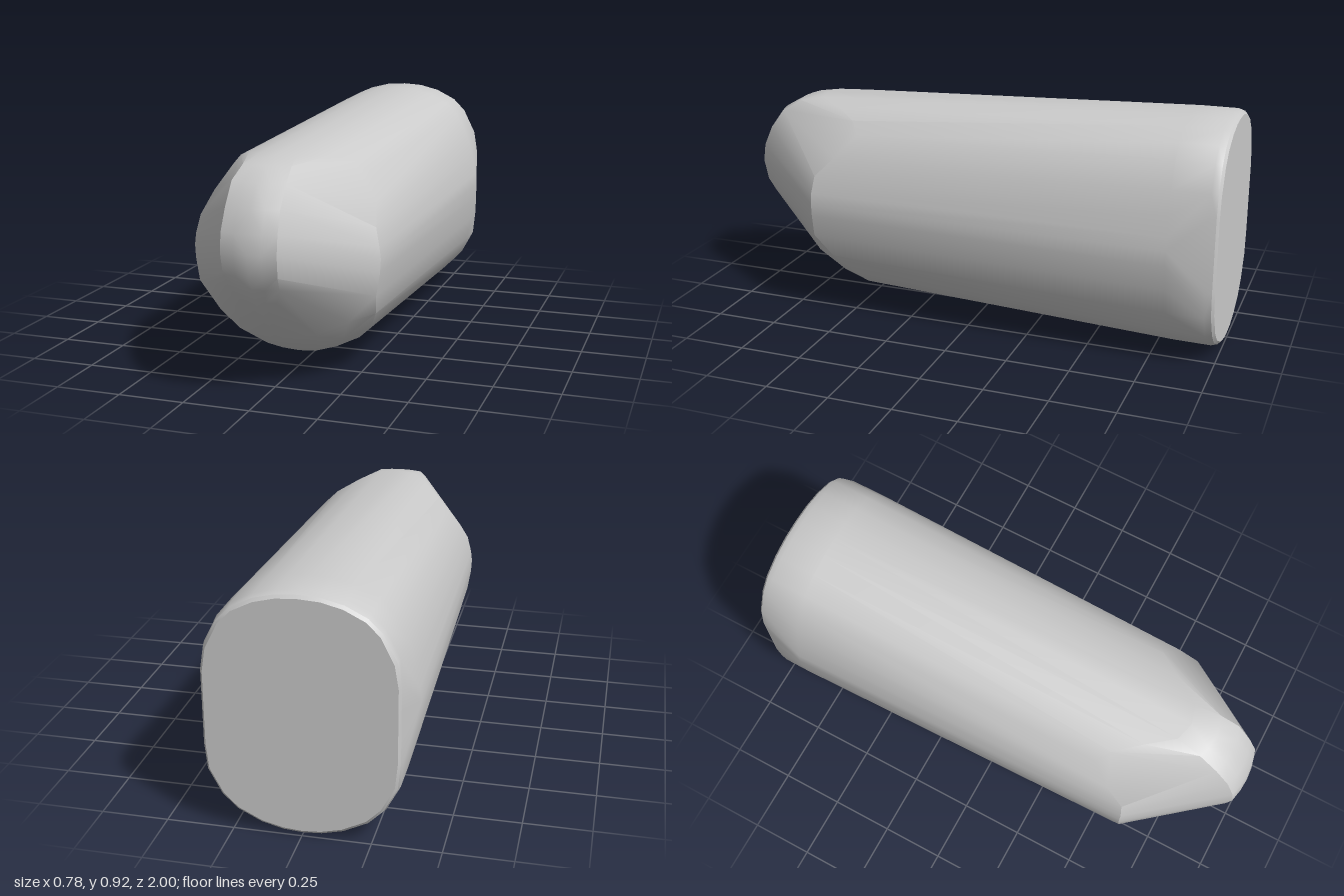
import * as THREE from 'three';
import { ConvexGeometry } from 'three/addons/geometries/ConvexGeometry.js';
import { toCreasedNormals } from 'three/addons/utils/BufferGeometryUtils.js';

// Half outline of the widest section, top to bottom: x, y, and the z where that line of the body ends
const OUTLINE = [
  [0, 0.915, 0.72], [0.08, 0.91, 0.7], [0.16, 0.89, 0.6], [0.24, 0.85, 0.5],
  [0.29, 0.80, 0.46], [0.34, 0.70, 0.54], [0.365, 0.61, 0.62], [0.382, 0.53, 0.63],
  [0.388, 0.48, 0.63], [0.385, 0.42, 0.63], [0.37, 0.32, 0.63], [0.345, 0.22, 0.56],
  [0.295, 0.125, 0.47], [0.24, 0.07, 0.45], [0.15, 0.025, 0.47], [0.07, 0.005, 0.5], [0, 0, 0.5],
];

// Rounded nose ridge: y, z, half width, setback of its edges
const NOSE = [
  [0.825, 0.82, 0.09, 0.02], [0.78, 0.9, 0.1, 0.02], [0.7, 0.96, 0.1, 0.02],
  [0.62, 0.99, 0.103, 0.015], [0.55, 1, 0.103, 0.015], [0.47, 0.985, 0.1, 0.015],
  [0.42, 0.96, 0.095, 0.02], [0.365, 0.925, 0.07, 0.02],
];

// Chin under the nose: x, y, z
const CHIN = [
  [0.3, 0.3, 0.63], [0.25, 0.24, 0.655], [0.15, 0.195, 0.71], [0, 0.172, 0.725],
  [0.2, 0.145, 0.57], [0.1, 0.1, 0.57], [0, 0.09, 0.57],
];

export function createModel() {
  const group = new THREE.Group();
  const points = [];
  const add = (x, y, z) => {
    points.push(new THREE.Vector3(x, y, z));
    if (x > 0) points.push(new THREE.Vector3(-x, y, z));
  };

  // Tapered body, narrowing evenly from back to front
  const addBody = (x, y, z) => {
    const t = (z + 0.82) / 1.45;
    add(x * (1 - 0.07 * t), 0.46 + (y - 0.46) * (1 - 0.14 * t), z);
  };
  for (const [x, y, zEnd] of OUTLINE) {
    addBody(x, y, -0.82);
    addBody(x, y, zEnd);
    // Back rim with flattened sides, then a slightly inset end cap
    const rimX = Math.min(x, 0.355);
    add(rimX, 0.46 + (y - 0.46) * 1.003, -0.965);
    add(rimX * 0.985, 0.46 + (y - 0.46) * 0.985, -0.99);
    add(rimX * 0.96, 0.46 + (y - 0.46) * 0.96, -1);
  }

  // Nose ridge, gently curved across its width
  for (const [y, z, w, back] of NOSE) {
    add(0, y, z);
    add(w * 0.5, y, z - back * 0.25);
    add(w, y, z - back);
  }
  for (const [x, y, z] of CHIN) add(x, y, z);

  const geometry = toCreasedNormals(new ConvexGeometry(points), THREE.MathUtils.degToRad(28));
  const body = new THREE.Mesh(geometry, new THREE.MeshStandardMaterial({ color: 0xcccccc }));
  body.name = 'taperedBody';
  group.add(body);
  return group;
}
